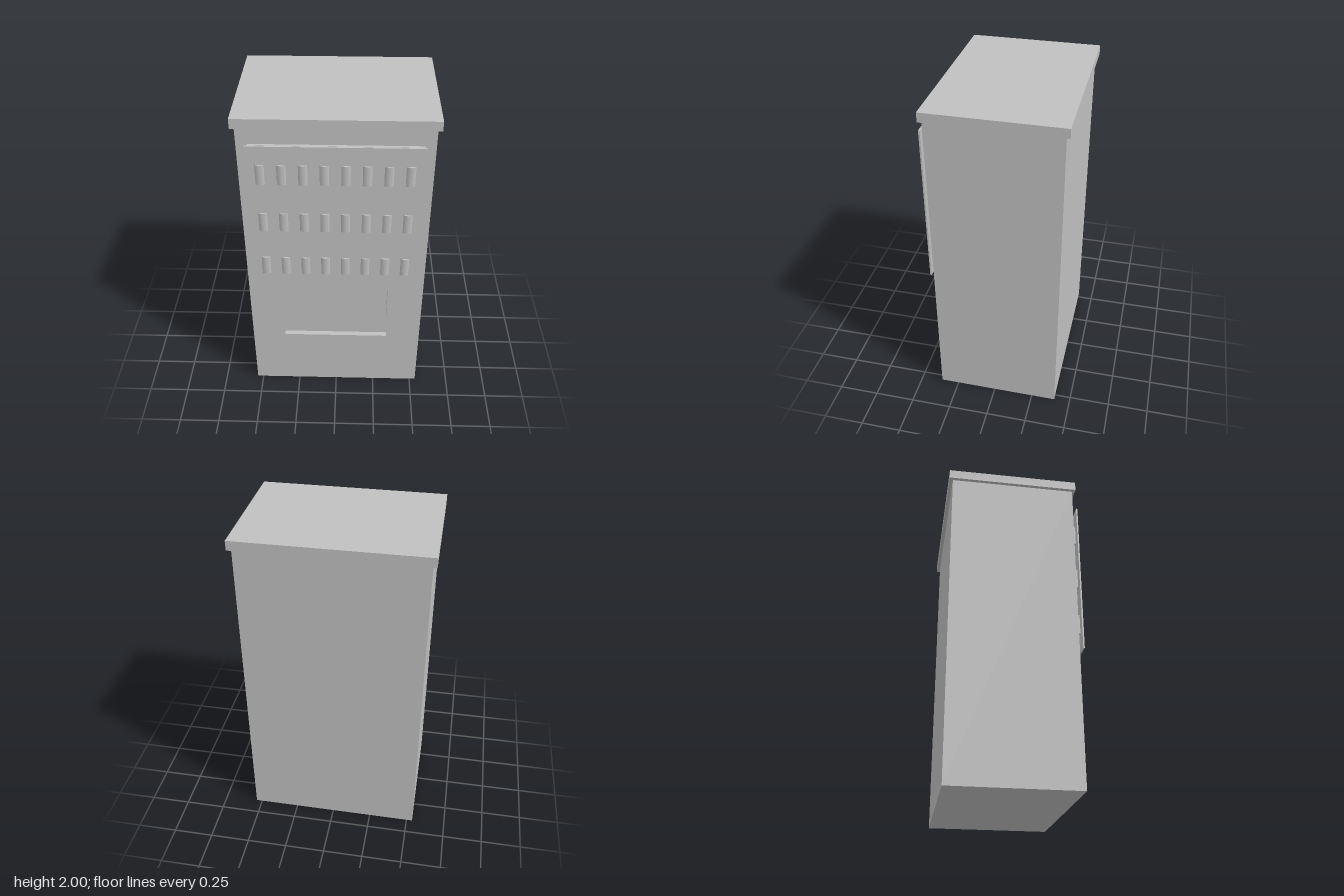
import * as THREE from 'three';

export function createModel() {
  const model = new THREE.Group();
  model.name = 'vendingMachine';
  const grey = new THREE.MeshStandardMaterial({ color: 0xc0c0c0 });
  grey.name = 'lightGrey';

  // Box given by its lower and upper limits on each axis
  function box(name, [x0, x1], [y0, y1], [z0, z1]) {
    const mesh = new THREE.Mesh(new THREE.BoxGeometry(x1 - x0, y1 - y0, z1 - z0), grey);
    mesh.position.set((x0 + x1) / 2, (y0 + y1) / 2, (z0 + z1) / 2);
    mesh.name = name;
    model.add(mesh);
  }

  // Cabinet
  box('cabinet', [-0.538, 0.538], [0, 1.943], [-0.4, 0.364]);
  box('topCap', [-0.56, 0.56], [1.943, 2], [-0.422, 0.381]);

  // Display window
  box('displayPanel', [-0.475, 0.475], [0.873, 1.843], [0.36, 0.381]);
  box('displayGlass', [-0.487, 0.484], [0.862, 1.853], [0.399, 0.408]);

  // Coin unit and delivery hatch
  box('coinUnit', [0.317, 0.44], [0.608, 0.922], [0.36, 0.398]);
  box('deliveryHatch', [-0.328, 0.323], [0.238, 0.445], [0.36, 0.396]);

  // Rows of eight-sided cans, each with a selection strip below
  const canGeometry = new THREE.CylinderGeometry(0.035, 0.035, 0.125, 8);
  for (const y of [1.677, 1.358, 1.039]) {
    for (let i = 0; i < 8; i++) {
      const can = new THREE.Mesh(canGeometry, grey);
      can.position.set(-0.413 + i * 0.1173, y, 0.385);
      can.name = 'can';
      model.add(can);
    }
    box('selectionStrip', [-0.3, 0.42], [y - 0.108, y - 0.08], [0.375, 0.392]);
  }
  return model;
}
